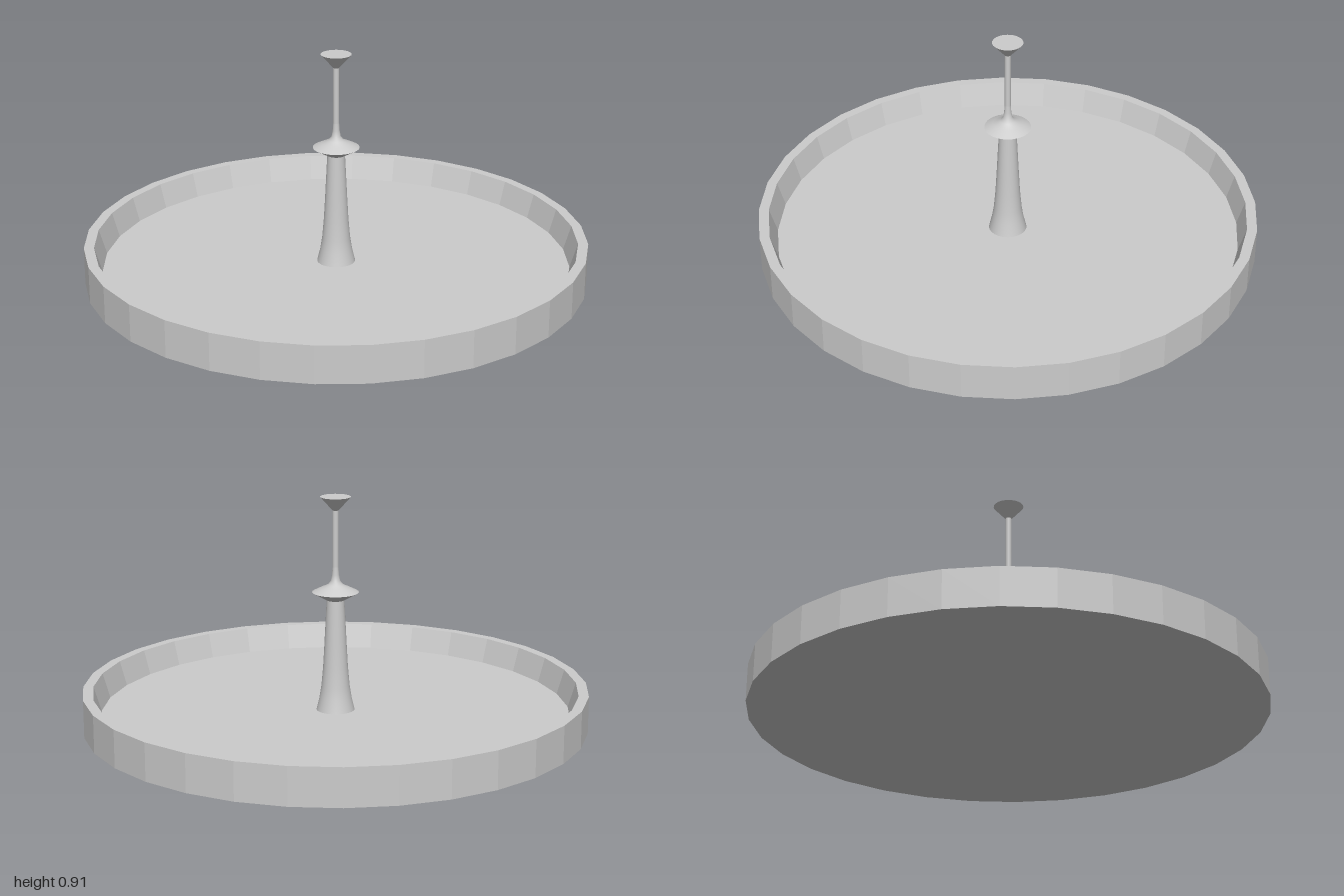
import * as THREE from 'three';

const SIDES = 32;

// Turns a profile of [radius, height] pairs, listed bottom to top, about the y axis
function turned(name, profile, material) {
  const points = profile.map(([r, y]) => new THREE.Vector2(r, y));
  const mesh = new THREE.Mesh(new THREE.LatheGeometry(points, SIDES), material);
  mesh.name = name;
  return mesh;
}

export function createModel() {
  const stone = new THREE.MeshStandardMaterial({ color: 0xcccccc });
  stone.name = 'stone';
  const facetedStone = stone.clone();
  facetedStone.name = 'facetedStone';
  facetedStone.flatShading = true;

  const fountain = new THREE.Group();
  fountain.name = 'fountain';

  // Faceted basin: underside, outer wall, rim, sloping inner wall and floor
  fountain.add(turned('basin', [
    [0, 0], [1, 0], [1, 0.15], [0.96, 0.15], [0.93, 0.05], [0, 0.05],
  ], facetedStone));

  // Central column, split into smooth pieces so the edges between them stay sharp
  const column = new THREE.Group();
  column.name = 'column';
  column.add(
    turned('pedestal', [
      [0.076, 0.05], [0.064, 0.1], [0.056, 0.15], [0.049, 0.23],
      [0.044, 0.32], [0.039, 0.42], [0.035, 0.5],
    ], stone),
    turned('dishUnderside', [[0.035, 0.498], [0.092, 0.53]], stone),
    turned('dishTop', [
      [0.092, 0.53], [0.058, 0.547], [0.03, 0.56], [0.018, 0.576],
      [0.014, 0.6], [0.012, 0.63],
    ], stone),
    turned('stem', [[0.012, 0.63], [0.012, 0.856]], stone),
    turned('finialCup', [[0.012, 0.856], [0.06, 0.91]], stone),
    turned('finialTop', [[0.06, 0.91], [0, 0.91]], stone),
  );
  fountain.add(column);

  return fountain;
}
